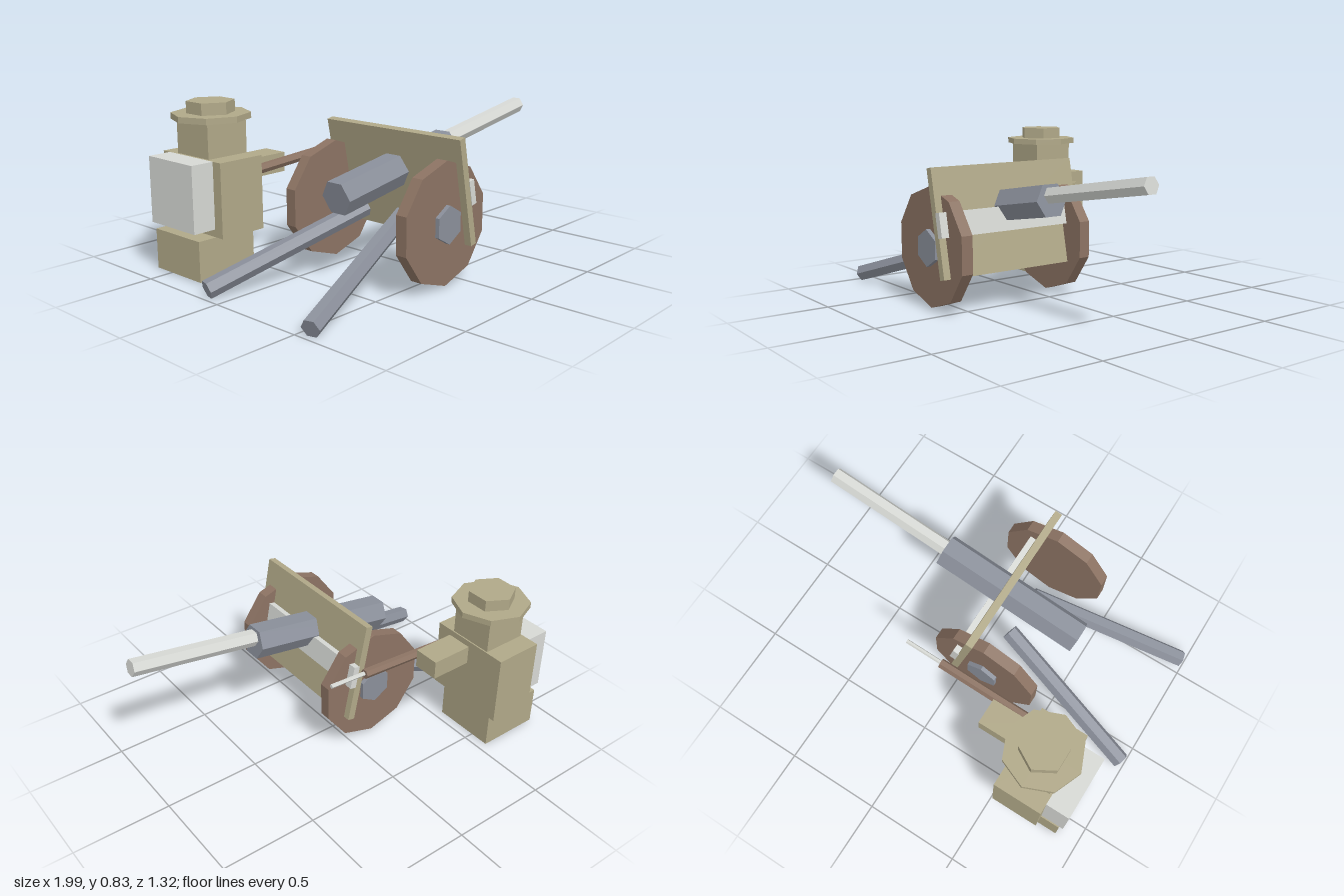
import * as THREE from 'three';

const makeMaterial = (name, color) => {
  const m = new THREE.MeshStandardMaterial({ color, flatShading: true });
  m.name = name;
  return m;
};

export function createModel() {
  const olive = makeMaterial('olive', 0xb0a888);
  const brown = makeMaterial('brown', 0x8c7363);
  const steel = makeMaterial('blue grey', 0x8a8f9a);
  const pale = makeMaterial('pale grey', 0xd6d8d4);

  const model = new THREE.Group();
  model.name = 'fieldGunAndGunner';
  const gun = new THREE.Group();
  gun.name = 'fieldGun';
  const gunner = new THREE.Group();
  gunner.name = 'gunner';
  model.add(gun, gunner);

  const add = (parent, name, geometry, material) => {
    const mesh = new THREE.Mesh(geometry, material);
    mesh.name = name;
    parent.add(mesh);
    return mesh;
  };

  // Box given by its extents on each axis
  const box = (parent, name, material, [x0, x1], [y0, y1], [z0, z1]) =>
    add(parent, name, new THREE.BoxGeometry(x1 - x0, y1 - y0, z1 - z0), material)
      .position.set((x0 + x1) / 2, (y0 + y1) / 2, (z0 + z1) / 2);

  // Prism between two points, with corners pointing out sideways
  const rod = (parent, name, material, from, to, radius, sides = 6) => {
    const a = new THREE.Vector3(...from);
    const b = new THREE.Vector3(...to);
    const dir = b.clone().sub(a);
    const mesh = add(parent, name, new THREE.CylinderGeometry(radius, radius, dir.length(), sides), material);
    dir.normalize();
    const side = dir.clone().cross(new THREE.Vector3(0, 1, 0)).normalize();
    const other = dir.clone().cross(side);
    mesh.quaternion.setFromRotationMatrix(new THREE.Matrix4().makeBasis(other, dir, side));
    mesh.position.copy(a).add(b).multiplyScalar(0.5);
    return mesh;
  };

  // Gun: breech and barrel
  const gunZ = 0.235;
  rod(gun, 'breech', steel, [-0.476, 0.434, gunZ], [0.324, 0.565, gunZ], 0.088);
  rod(gun, 'barrel', pale, [0.25, 0.577, gunZ], [0.99, 0.697, gunZ], 0.043);

  // Tilted shield with its crossbar
  const shield = new THREE.Group();
  shield.name = 'shield';
  shield.position.set(-0.031, 0.448, gunZ);
  shield.rotation.z = 0.2;
  gun.add(shield);
  add(shield, 'shieldPlate', new THREE.BoxGeometry(0.038, 0.536, 0.84), olive);
  add(shield, 'shieldCrossbar', new THREE.BoxGeometry(0.034, 0.122, 0.846), pale).position.set(0.033, -0.01, 0);

  // Wheels, hubs and splayed trail legs
  for (const s of [-1, 1]) {
    const label = s > 0 ? 'front' : 'back';
    const wheel = add(gun, label + 'Wheel', new THREE.CylinderGeometry(0.3, 0.3, 0.06, 10).rotateX(Math.PI / 2), brown);
    wheel.position.set(-0.145, 0.315, gunZ + s * 0.353);
    const hub = add(gun, label + 'Hub', new THREE.CylinderGeometry(0.093, 0.093, 0.07, 6).rotateX(Math.PI / 2), steel);
    hub.position.set(-0.145, 0.315, gunZ + s * 0.37);
    rod(gun, label + 'TrailLeg', steel,
      [-0.976, 0.045, gunZ + s * 0.335], [-0.145, 0.308, gunZ + s * 0.12], 0.046);
  }

  // Gunner's body and pack
  box(gunner, 'legs', olive, [-0.88, -0.547], [0.01, 0.212], [-0.605, -0.27]);
  box(gunner, 'torso', olive, [-0.777, -0.523], [0.212, 0.58], [-0.657, -0.22]);
  box(gunner, 'backpack', pale, [-0.9, -0.777], [0.25, 0.58], [-0.605, -0.275]);
  box(gunner, 'head', olive, [-0.765, -0.53], [0.58, 0.752], [-0.555, -0.32]);
  box(gunner, 'arm', olive, [-0.523, -0.3], [0.45, 0.548], [-0.437, -0.3]);

  // Helmet
  add(gunner, 'helmetBrim', new THREE.CylinderGeometry(0.194, 0.194, 0.03, 8), olive)
    .position.set(-0.648, 0.766, -0.438);
  add(gunner, 'helmetCrown', new THREE.CylinderGeometry(0.118, 0.118, 0.06, 6), olive)
    .position.set(-0.648, 0.81, -0.438);

  // Rifle
  rod(gunner, 'rifleStock', brown, [-0.523, 0.493, -0.279], [0.02, 0.53, -0.279], 0.025);
  rod(gunner, 'rifleBarrel', pale, [0.0, 0.53, -0.277], [0.22, 0.545, -0.277], 0.011);

  return model;
}
